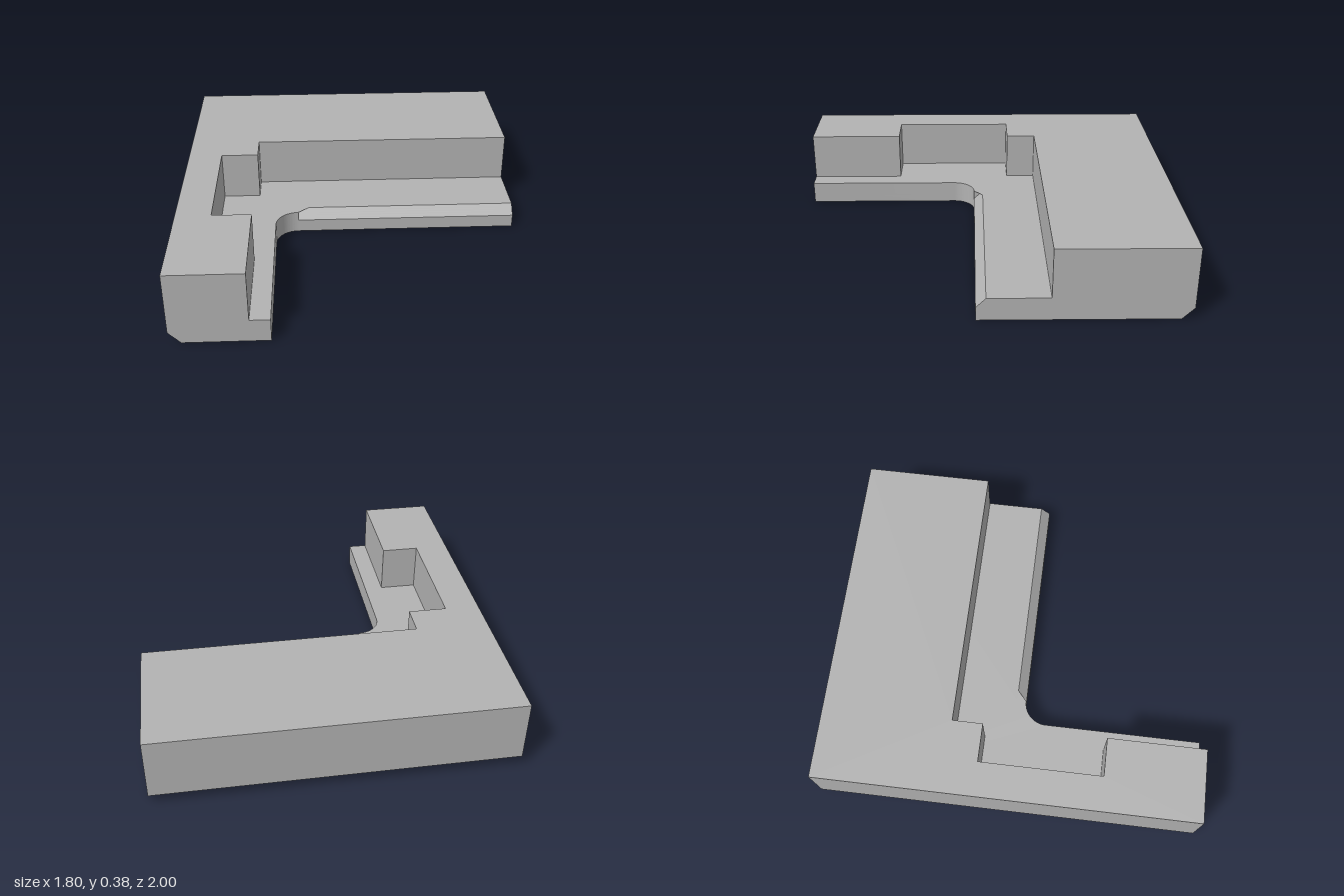
import * as THREE from 'three';
import { toCreasedNormals } from 'three/addons/utils/BufferGeometryUtils.js';

const grey = new THREE.MeshStandardMaterial({ color: 0xb2b2b2 });
grey.name = 'plain grey';

const LEDGE = 0.12, TOP = 0.38, POCKET = 0.04;
const BEVEL = 0.06, LIP = 0.07, FRONT = 0.04;

// plan outlines are given as [x, z]
const points = (list) => list.map(([x, z]) => new THREE.Vector2(x, -z));

function basePlan() {
  const s = new THREE.Shape();
  s.moveTo(-0.9, 1);
  s.lineTo(-0.9, -1);
  s.lineTo(0.9, -1);
  s.lineTo(0.9, -FRONT);
  s.lineTo(-0.2999, -FRONT); // where the lip bevel stops
  s.lineTo(-0.3, -FRONT);
  s.absarc(-0.3, -0.16, 0.12, Math.PI / 2, Math.PI, false); // rounded inner corner
  s.lineTo(-0.42, -1);
  s.lineTo(-0.9, -1);
  return s;
}

// the base outline as an L: back slab, left arm, filleted inner corner
function planL() {
  const s = new THREE.Shape();
  s.moveTo(-0.9, -1);
  s.lineTo(-0.9, 1);
  s.lineTo(0.9, 1);
  s.lineTo(0.9, -FRONT);
  s.lineTo(-0.2999, -FRONT);
  s.lineTo(-0.3, -FRONT);
  s.absarc(-0.3, -0.16, 0.12, Math.PI / 2, Math.PI, false);
  s.lineTo(-0.42, -1);
  s.closePath();
  return s;
}

// extrude a plan upward from y0 to y1, then cut the bevels by moving vertices
function layer(name, shape, y0, y1, steps = 1) {
  let geo = new THREE.ExtrudeGeometry(shape, {
    depth: y1 - y0, steps, bevelEnabled: false, curveSegments: 16,
  });
  geo.rotateX(-Math.PI / 2).translate(0, y0, 0);
  const p = geo.attributes.position;
  for (let i = 0; i < p.count; i++) {
    const x = p.getX(i), y = p.getY(i), z = p.getZ(i);
    // bottom bevel along the left and back sides
    const inset = Math.max(0, BEVEL - y);
    p.setX(i, Math.max(x, -0.9 + inset));
    p.setZ(i, Math.max(z, -1 + inset));
    // bevel on the front lip
    if (y < LEDGE + 1e-4 && y > LIP && x > -0.29995 && Math.abs(z - FRONT) < 1e-4) {
      p.setZ(i, FRONT - (y - LIP));
    }
  }
  geo = toCreasedNormals(geo, 0.5);
  const mesh = new THREE.Mesh(geo, grey);
  mesh.name = name;
  return mesh;
}

export function createModel() {
  const group = new THREE.Group();
  group.name = 'corner block';

  // underside with a shallow square pocket
  const foot = planL();
  foot.holes.push(new THREE.Path(points([
    [-0.41, -0.7], [-0.01, -0.7], [-0.01, -0.26], [-0.41, -0.26],
  ])));
  group.add(layer('pocketedFoot', foot, 0, POCKET));

  // ledge with the bevelled lip
  group.add(layer('ledge', planL(), POCKET, LEDGE, 8));

  // raised wall with the notch in the left arm
  const wall = new THREE.Shape(points([
    [-0.9, -1], [0.9, -1], [0.9, -0.32], [-0.52, -0.32], [-0.52, -0.16],
    [-0.72, -0.16], [-0.72, 0.485], [-0.52, 0.485], [-0.52, 1], [-0.9, 1],
  ]));
  group.add(layer('raisedWall', wall, LEDGE, TOP));

  return group;
}
